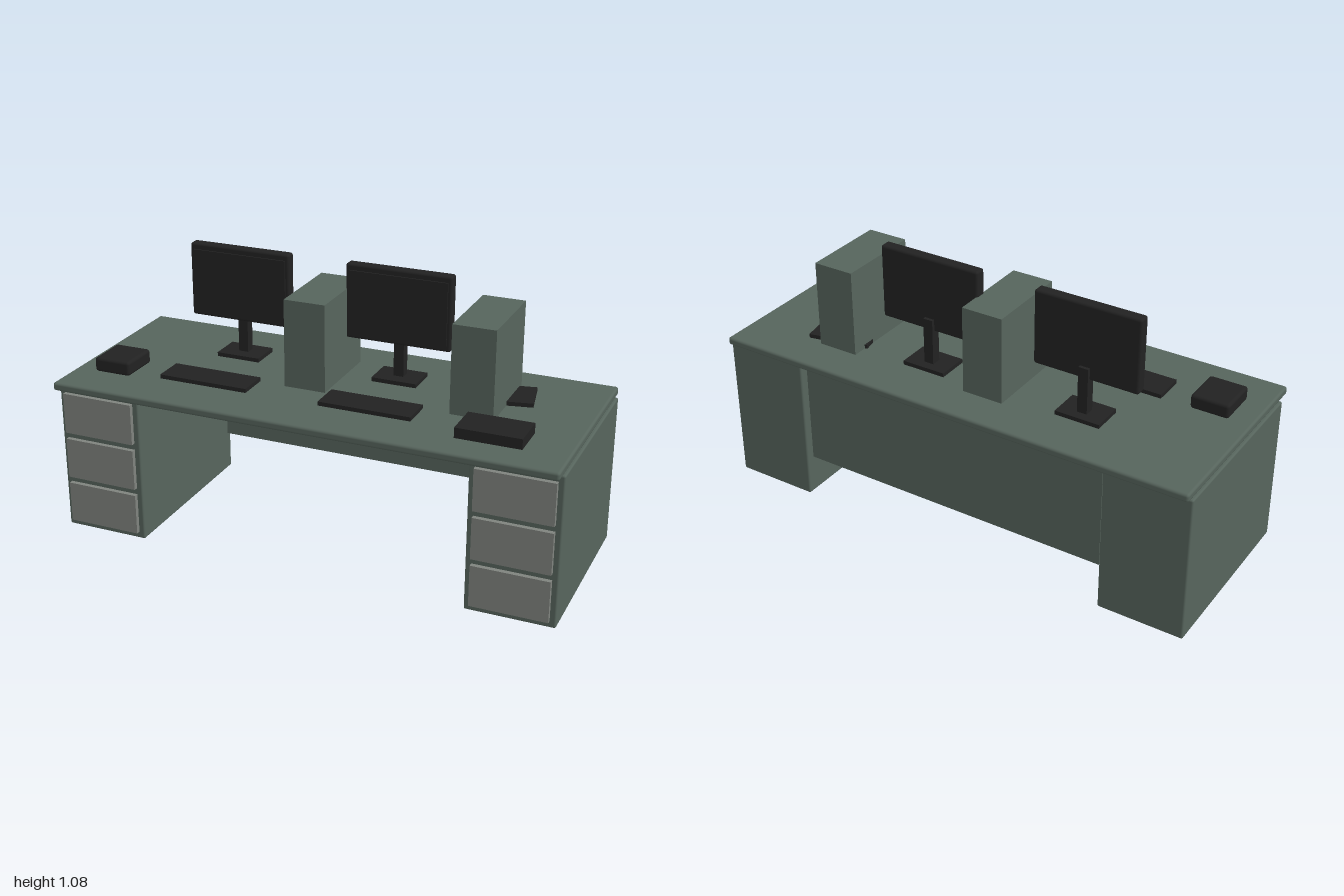
import * as THREE from 'three';
import { RoundedBoxGeometry } from 'three/addons/geometries/RoundedBoxGeometry.js';

const make = (name, color) => {
  const m = new THREE.MeshStandardMaterial({ color });
  m.name = name;
  return m;
};

export function createModel() {
  const green = make('greyGreen', 0x56645c);
  const grey = make('drawerGrey', 0x7f837e);
  const black = make('black', 0x222222);
  const model = new THREE.Group();
  model.name = 'officeDesk';

  // Box given by its lower and upper limits; radius rounds the edges
  const box = (parent, name, mat, [x0, x1], [y0, y1], [z0, z1], radius = 0) => {
    const size = [x1 - x0, y1 - y0, z1 - z0];
    const geo = radius ? new RoundedBoxGeometry(...size, 2, radius) : new THREE.BoxGeometry(...size);
    const mesh = new THREE.Mesh(geo, mat);
    mesh.name = name;
    mesh.position.set((x0 + x1) / 2, (y0 + y1) / 2, (z0 + z1) / 2);
    parent.add(mesh);
    return mesh;
  };
  const group = (name, x = 0) => {
    const g = new THREE.Group();
    g.name = name;
    g.position.x = x;
    model.add(g);
    return g;
  };

  // Desk
  const top = 0.63;
  box(model, 'desktop', green, [-0.993, 0.993], [0.598, top], [-0.412, 0.412], 0.01);
  box(model, 'modestyPanel', green, [-0.648, 0.645], [0.17, 0.58], [-0.365, -0.34]);

  // Drawer pedestals
  for (const side of [-1, 1]) {
    const g = group(side > 0 ? 'leftPedestal' : 'rightPedestal', side * 0.829);
    box(g, 'cabinet', green, [-0.171, 0.171], [0, 0.596], [-0.386, 0.355], 0.007);
    for (let i = 0; i < 3; i++) {
      const y = 0.028 + i * 0.19;
      box(g, 'drawerFront', grey, [-0.148, 0.148], [y, y + 0.164], [0.35, 0.373]);
    }
  }

  // Workstations: monitor, keyboard
  for (const x of [-0.456, 0.204]) {
    const g = group('monitor', x);
    box(g, 'monitorHousing', black, [-0.212, 0.212], [0.78, 1.076], [-0.165, -0.118], 0.01);
    box(g, 'screen', black, [-0.197, 0.197], [0.805, 1.052], [-0.119, -0.112]);
    box(g, 'monitorNeck', black, [-0.02, 0.02], [0.64, 0.83], [-0.178, -0.138]);
    box(g, 'monitorBase', black, [-0.09, 0.09], [top, 0.646], [-0.215, -0.087]);
    box(g, 'keyboard', black, [-0.182, 0.182], [top, 0.646], [0.083, 0.21]);
  }

  // Computer towers
  for (const x of [-0.085, 0.574]) {
    box(group('computerTower', x), 'towerCase', green, [-0.083, 0.083], [top, 0.976], [-0.256, 0.09]);
  }

  // Desk accessories
  box(model, 'telephone', black, [-0.906, -0.754], [top, 0.687], [0.08, 0.247], 0.012);
  box(model, 'documentTray', black, [0.575, 0.824], [top, 0.67], [0.13, 0.281]);
  const pad = box(model, 'notePad', black, [0.494, 0.741], [top, 0.646], [-0.22, -0.06]);
  pad.rotation.y = 0.2;

  return model;
}
